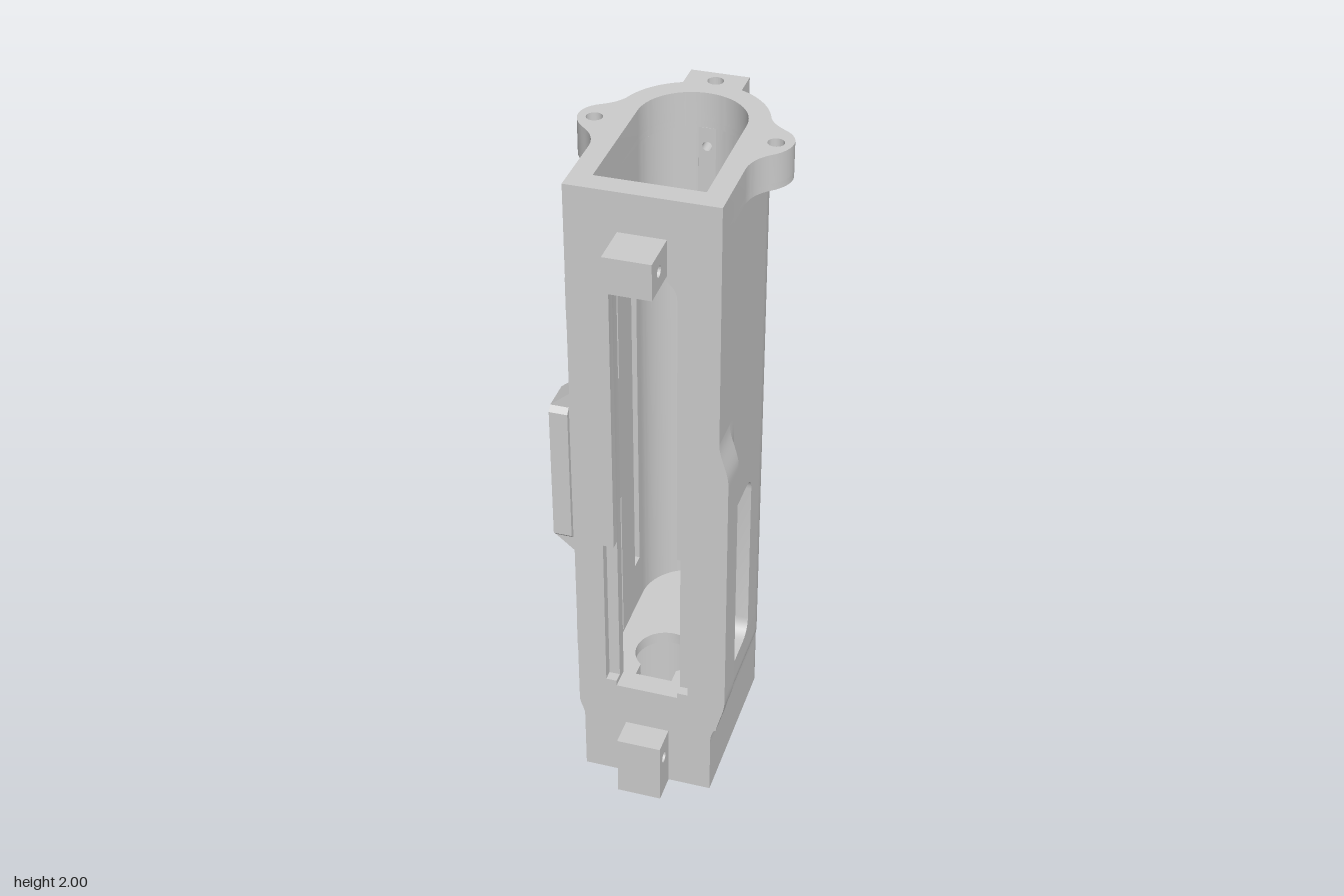
import * as THREE from 'three';
import { toCreasedNormals } from 'three/addons/utils/BufferGeometryUtils.js';

const mat = new THREE.MeshStandardMaterial({ color: 0xcccccc });

// Outline helpers: all return lists of [p, q] points
const arc = (cx, cy, r, a0, a1, n = 12) =>
  Array.from({ length: n + 1 }, (_, i) => {
    const a = a0 + ((a1 - a0) * i) / n;
    return [cx + r * Math.cos(a), cy + r * Math.sin(a)];
  });
const circle = (cx, cy, r, n = 24) => arc(cx, cy, r, 0, 2 * Math.PI * (1 - 1 / n), n - 1);
const rect = (p0, p1, q0, q1) => [[p0, q0], [p1, q0], [p1, q1], [p0, q1]];
const P = Math.PI;
const roundRect = (p0, p1, q0, q1, r) => [
  ...arc(p1 - r, q0 + r, r, -P / 2, 0, 6), ...arc(p1 - r, q1 - r, r, 0, P / 2, 6),
  ...arc(p0 + r, q1 - r, r, P / 2, P, 6), ...arc(p0 + r, q0 + r, r, P, 1.5 * P, 6)];
const flip = (pts) => pts.map(([p, q]) => [-p, q]);
const mirrored = (half) => [...half, ...flip(half).reverse()];
const smooth = THREE.MathUtils.smoothstep;
const clamp = THREE.MathUtils.clamp;

// Extrude along an axis from a to b. Points are [x,z] for 'y', [x,y] for 'z', [z,y] for 'x'.
// An optional rule then moves the vertices.
function extrude(axis, pts, holes, a, b, steps = 1, rule = null) {
  // Outlines run counter-clockwise and holes clockwise, so every face points outwards
  const toPath = (list, clockwise) => {
    const v = list.map(([p, q]) =>
      axis === 'y' ? new THREE.Vector2(p, -q) : axis === 'x' ? new THREE.Vector2(-p, q) : new THREE.Vector2(p, q));
    return THREE.ShapeUtils.isClockWise(v) === clockwise ? v : v.reverse();
  };
  const shape = new THREE.Shape(toPath(pts, false));
  shape.holes = holes.map((h) => new THREE.Path(toPath(h, true)));
  const g = new THREE.ExtrudeGeometry(shape, { depth: b - a, steps, bevelEnabled: false });
  g.translate(0, 0, a);
  if (axis === 'y') g.rotateX(-P / 2);
  if (axis === 'x') g.rotateY(P / 2);
  if (rule) {
    const pos = g.attributes.position, v = new THREE.Vector3();
    for (let i = 0; i < pos.count; i++) {
      rule(v.fromBufferAttribute(pos, i));
      pos.setXYZ(i, v.x, v.y, v.z);
    }
  }
  return toCreasedNormals(g, 0.5);
}

export function createModel() {
  const group = new THREE.Group();
  const add = (name, ...args) => {
    const m = new THREE.Mesh(extrude(...args), mat);
    m.name = name;
    group.add(m);
  };

  const W = 0.21, FRONT = 0.29, C = -0.144, FLOOR = 0.338, SILL = 0.34, TOP = 1.896;

  // Base: D-shaped block narrowed on both sides near the foot
  const outline = mirrored([[W, FRONT], ...arc(0, C, W, 0, -P / 2 + 0.01, 24)]);
  const narrow = (v) => {
    const lim = 0.195 + 0.015 * smooth(v.y, 0.2, 0.26);
    v.x = clamp(v.x, -lim, lim);
  };
  const screwHoles = [[0.115, 0.265], [-0.115, 0.265], [0.105, -0.095], [-0.105, -0.095]]
    .map(([x, z]) => circle(x, z, 0.01, 12));
  add('base', 'y', outline, [circle(0, 0.113, 0.155, 48), ...screwHoles], 0, 0.3, 20, narrow);

  // Cavity floor with keyhole opening
  const k = Math.asin(0.055 / 0.09);
  const keyhole = [...arc(0, 0.107, 0.09, P / 2 + k, 2.5 * P - k, 36), [0.055, 0.224], [-0.055, 0.224]];
  add('cavityFloor', 'y', outline, [keyhole], 0.3, FLOOR);

  // Front wall: inner layer with long slot, outer layer with a stepped recess
  const slotTop = [...arc(0.033, 1.71, 0.06, 0, P / 2, 8), ...arc(-0.033, 1.71, 0.06, P / 2, P, 8)];
  const slot = [[-0.093, SILL], [0.093, SILL], ...slotTop];
  const steppedSlot = mirrored([[0.093, SILL], [0.093, 0.358], [0.125, 0.358], [0.125, 0.86],
    [0.093, 0.86], ...slotTop.slice(0, 9)]);
  add('frontWallInner', 'z', rect(-W, W, FLOOR, TOP), [slot], 0.225, 0.26);
  add('frontWallOuter', 'z', rect(-W, W, FLOOR, TOP), [steppedSlot], 0.26, FRONT);

  // Side walls: window on the left, slots on the right
  const sideWall = rect(C, 0.225, FLOOR, TOP);
  add('leftWall', 'x', sideWall, [roundRect(-0.06, 0.19, SILL, 0.93, 0.05)], 0.15, W);
  add('rightWall', 'x', sideWall, [
    rect(0.05, 0.152, 0.35, 0.85), rect(0.05, 0.152, 1.27, 1.68), rect(-0.112, -0.067, 0.5, 1.67),
  ], -W, -0.15);

  // Rounded back wall in two halves, joined by a drilled strip
  const backHalf = [
    ...arc(0, C, W, 0, -Math.acos(0.025 / W), 24),
    ...arc(0, C, 0.15, -Math.acos(0.025 / 0.15), 0, 24),
  ];
  add('backWallLeft', 'y', backHalf, [], FLOOR, TOP);
  add('backWallRight', 'y', flip(backHalf), [], FLOOR, TOP);
  const pins = [0.66, 1.04, 1.84].map((y) => circle(0, y, 0.014, 16));
  add('backStrip', 'z', rect(-0.025, 0.025, FLOOR, TOP), pins, -0.353, -0.2925);

  // Back rail with a chamfered lower end
  add('backRail', 'z', rect(-0.083, 0.083, 0.775, TOP), pins.slice(1), -0.417, -0.335, 1, (v) => {
    if (v.z < -0.41 && v.y < 0.79) v.y = 0.855;
  });

  // Top flange with two screw ears and the rail end; the ear holes stop short of the underside
  const ear = new THREE.Path();
  ear.moveTo(W, 0.08);
  ear.quadraticCurveTo(0.212, 0.03, 0.25, -0.005);
  ear.bezierCurveTo(0.31, -0.05, 0.31, -0.12, 0.25, -0.152);
  ear.quadraticCurveTo(0.213, -0.175, 0.2, -0.208);
  const railAngle = Math.acos(0.083 / W);
  const flange = mirrored([
    [W, FRONT], ...ear.getPoints(12).map((p) => [p.x, p.y]),
    ...arc(0, C, W, -0.38, -railAngle, 14), [0.083, -0.417],
  ]);
  const cavity = mirrored([[0.15, 0.225], ...arc(0, C, 0.15, 0, -P / 2 + 0.01, 24)]);
  const flangeHoles = [[0, -0.37], [0.248, -0.077], [-0.248, -0.077]].map(([x, z]) => circle(x, z, 0.023));
  add('flangeUnderside', 'y', flange, [cavity], TOP, 1.915);
  add('topFlange', 'y', flange, [cavity, ...flangeHoles], 1.915, 2);

  // Raised rib along the left front edge, with a fillet above and below the window
  const swell = (v) => {
    const h = smooth(v.y, 0.22, 0.36) * (1 - smooth(v.y, 1.15, 1.28));
    if (v.x > W) v.x = W + (v.x - W) * h;
  };
  add('sideRib', 'y', rect(0.2, 0.237, 0.19, FRONT), [], 0.24, 1.28, 60, swell);
  const fillet = [[0.2, 0.19], [0.237, 0.19], [0.224, 0.178], [0.215, 0.163], [0.2101, 0.145], [0.2, 0.145]];
  add('ribFilletUpper', 'y', fillet, [], 0.93, 1.28, 24, swell);
  add('ribFilletLower', 'y', fillet, [], 0.24, SILL, 8, swell);

  // Paired guide pads beside the right-hand slots
  for (const [y0, y1] of [[0.342, 0.502], [1.495, 1.68]])
    for (const [z0, z1] of [[0.02, 0.05], [0.15, 0.18]]) {
      const pad = [[-0.2, y0], ...arc(-0.222, y0 + 0.03, 0.03, -P / 2, -P, 6),
        ...arc(-0.222, y1 - 0.03, 0.03, P, P / 2, 6), [-0.2, y1]];
      add('guidePad', 'z', pad, [], z0, z1);
    }

  // Side bracket with sloped ends, two holes and a chamfered front lip
  add('sideBracket', 'x', rect(0.2, FRONT, 0.82, 1.365),
    [circle(0.25, 0.955, 0.01, 16), circle(0.25, 1.235, 0.01, 16)], -0.265, -0.205, 1, (v) => {
      if (v.x < -0.26) v.y = clamp(v.y, 0.87, 1.315);
    });
  add('bracketLip', 'x', [[FRONT, 0.87], [0.305, 0.885], [0.305, 1.3], [FRONT, 1.315]], [], -0.265, -0.212);

  // Front lugs with cross holes
  add('upperLug', 'x', rect(FRONT - 0.005, 0.417, 1.78, 1.885), [circle(0.358, 1.832, 0.016)], -0.066, 0.066);
  add('lowerLug', 'x', rect(FRONT - 0.005, 0.375, 0, 0.2), [circle(0.336, 0.135, 0.017)], -0.066, 0.066);

  return group;
}
